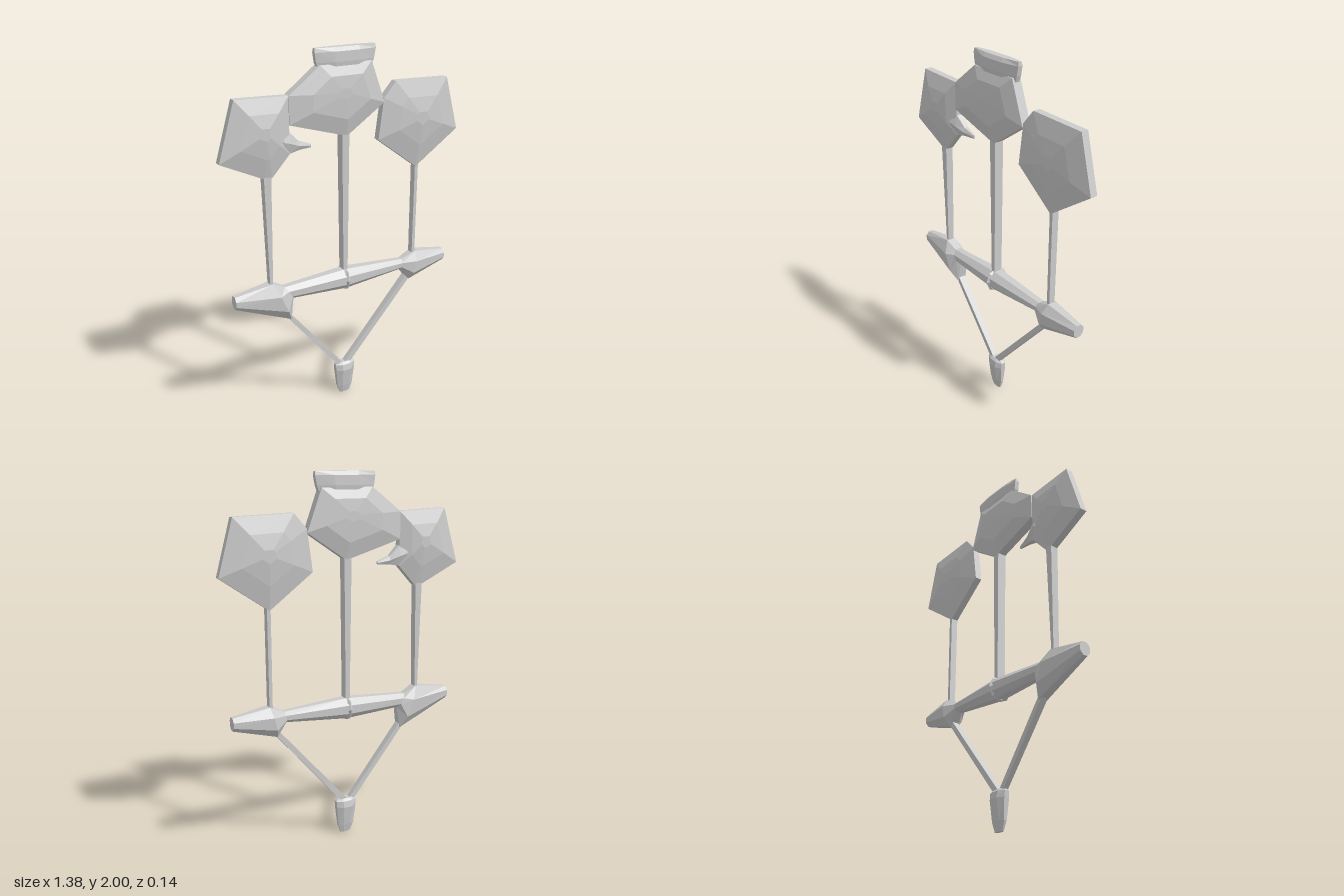
import * as THREE from 'three';

const material = new THREE.MeshStandardMaterial({ color: 0xcccccc, flatShading: true });

// Skins a stack of equally sized rings and closes both ends with fans.
function skin(name, rings) {
  const tris = [];
  const n = rings[0].length;
  for (let r = 0; r < rings.length - 1; r++) {
    for (let i = 0; i < n; i++) {
      const j = (i + 1) % n;
      const a = rings[r][i], b = rings[r][j], c = rings[r + 1][j], d = rings[r + 1][i];
      tris.push([a, b, c], [a, c, d]);
    }
  }
  const cap = (ring, flip) => {
    const mid = ring.reduce((s, p) => s.add(p), new THREE.Vector3()).divideScalar(n);
    ring.forEach((p, i) => {
      const q = ring[(i + 1) % n];
      tris.push(flip ? [mid, q, p] : [mid, p, q]);
    });
  };
  cap(rings[0], true);
  cap(rings[rings.length - 1], false);
  // Turn the faces outwards
  const volume = tris.reduce((s, [a, b, c]) => s + a.dot(b.clone().cross(c)), 0);
  if (volume < 0) tris.forEach((t) => t.reverse());
  const geometry = new THREE.BufferGeometry().setFromPoints(tris.flat());
  geometry.computeVertexNormals();
  const mesh = new THREE.Mesh(geometry, material);
  mesh.name = name;
  return mesh;
}

// Cross-section spanning from (x1, y1) to (x2, y2), with half depth hz.
function section([x1, y1, x2, y2, hz], sides) {
  const k = 1 / Math.cos(Math.PI / sides);
  return Array.from({ length: sides }, (_, i) => {
    const a = ((i + 0.5) / sides) * Math.PI * 2;
    const t = (Math.cos(a) * k) / 2;
    return new THREE.Vector3((x1 + x2) / 2 + (x2 - x1) * t, (y1 + y2) / 2 + (y2 - y1) * t, Math.sin(a) * k * hz);
  });
}
const loft = (name, sections, sides = 8) => skin(name, sections.map((s) => section(s, sides)));

// Faceted plate: thin rim, swelling towards a centre on both faces.
function plate(name, outline, [cx, cy], levels) {
  const ring = ([scale, z]) => outline.map(([x, y]) =>
    new THREE.Vector3(cx + (x - cx) * scale, cy + (y - cy) * scale, z));
  const back = levels.map(([s, z]) => [s, -z]).reverse();
  return skin(name, [...back, ...levels].map(ring));
}

// Thin four-sided rod between two points; w = half width, d = half depth.
function rod(name, [x1, y1, w1, d1], [x2, y2, w2, d2]) {
  const n = new THREE.Vector2(y2 - y1, x1 - x2).normalize();
  const end = (x, y, w, d) => [x - n.x * w, y - n.y * w, x + n.x * w, y + n.y * w, d];
  return loft(name, [end(x1, y1, w1, d1), end(x2, y2, w2, d2)], 4);
}

export function createModel() {
  const model = new THREE.Group();
  model.name = 'hangingOrnament';

  // Three plates
  const swell = [[1, 0.02], [0.55, 0.047], [0.15, 0.062]];
  model.add(plate('rightPlate',
    [[-0.6, 1.8], [-0.69, 1.5], [-0.46, 1.39], [-0.42, 1.39], [-0.32, 1.5], [-0.32, 1.61], [-0.32, 1.79]],
    [-0.46, 1.63], swell));
  model.add(plate('leftPlate',
    [[0.29, 1.8], [0.22, 1.72], [0.19, 1.5], [0.43, 1.32], [0.69, 1.5], [0.61, 1.79]],
    [0.44, 1.6], swell));
  model.add(plate('middlePlate',
    [[-0.15, 1.92], [-0.32, 1.79], [-0.32, 1.645], [0, 1.55], [0.22, 1.7], [0.14, 1.92]],
    [-0.02, 1.78], [[1, 0.025], [0.6, 0.05], [0.15, 0.056]]));

  // Flared collar on the middle plate
  model.add(loft('collar', [
    [-0.15, 1.89, 0.145, 1.89, 0.028],
    [-0.165, 1.93, 0.16, 1.93, 0.033],
    [-0.172, 1.98, 0.17, 1.98, 0.032],
    [-0.17, 2.0, 0.168, 2.0, 0.02],
  ]));

  // Beak-like spur on the right plate
  model.add(loft('spur', [
    [-0.36, 1.64, -0.36, 1.495, 0.035],
    [-0.32, 1.61, -0.32, 1.5, 0.03],
    [-0.265, 1.555, -0.265, 1.51, 0.018],
    [-0.195, 1.53, -0.195, 1.512, 0.005],
  ], 6));

  // Upright rods
  model.add(rod('rightRod', [-0.445, 0.79, 0.008, 0.018], [-0.445, 1.4, 0.02, 0.022]));
  model.add(rod('middleRod', [-0.008, 0.75, 0.012, 0.024], [-0.008, 1.58, 0.021, 0.026]));
  model.add(rod('leftRod', [0.435, 0.78, 0.009, 0.018], [0.435, 1.36, 0.01, 0.02]));

  // Crossbar with knuckles near both ends
  model.add(loft('crossbar', [
    [-0.65, 0.78, -0.65, 0.71, 0.032],
    [-0.44, 0.812, -0.34, 0.58, 0.062],
    [-0.37, 0.775, -0.322, 0.7, 0.04],
    [0, 0.8, 0, 0.685, 0.056],
    [0.36, 0.775, 0.35, 0.715, 0.035],
    [0.445, 0.812, 0.405, 0.645, 0.062],
    [0.645, 0.78, 0.645, 0.71, 0.032],
  ]));

  // Band round the middle of the crossbar
  const band = new THREE.Mesh(new THREE.TorusGeometry(0.06, 0.011, 4, 8), material);
  band.name = 'band';
  band.rotation.y = Math.PI / 2;
  band.position.set(-0.008, 0.742, 0);
  model.add(band);

  // Slanted rods meeting at the bottom
  model.add(rod('rightBrace', [-0.02, 0.18, 0.014, 0.014], [-0.36, 0.61, 0.013, 0.02]));
  model.add(rod('leftBrace', [-0.01, 0.18, 0.016, 0.014], [0.41, 0.67, 0.014, 0.02]));

  // Bottom weight
  model.add(loft('weight', [
    [-0.05, 0.21, 0.04, 0.205, 0.018],
    [-0.065, 0.195, 0.055, 0.195, 0.03],
    [-0.063, 0.16, 0.053, 0.16, 0.037],
    [-0.052, 0.05, 0.042, 0.05, 0.02],
    [-0.034, 0.0, 0.026, 0.0, 0.009],
  ]));

  return model;
}
